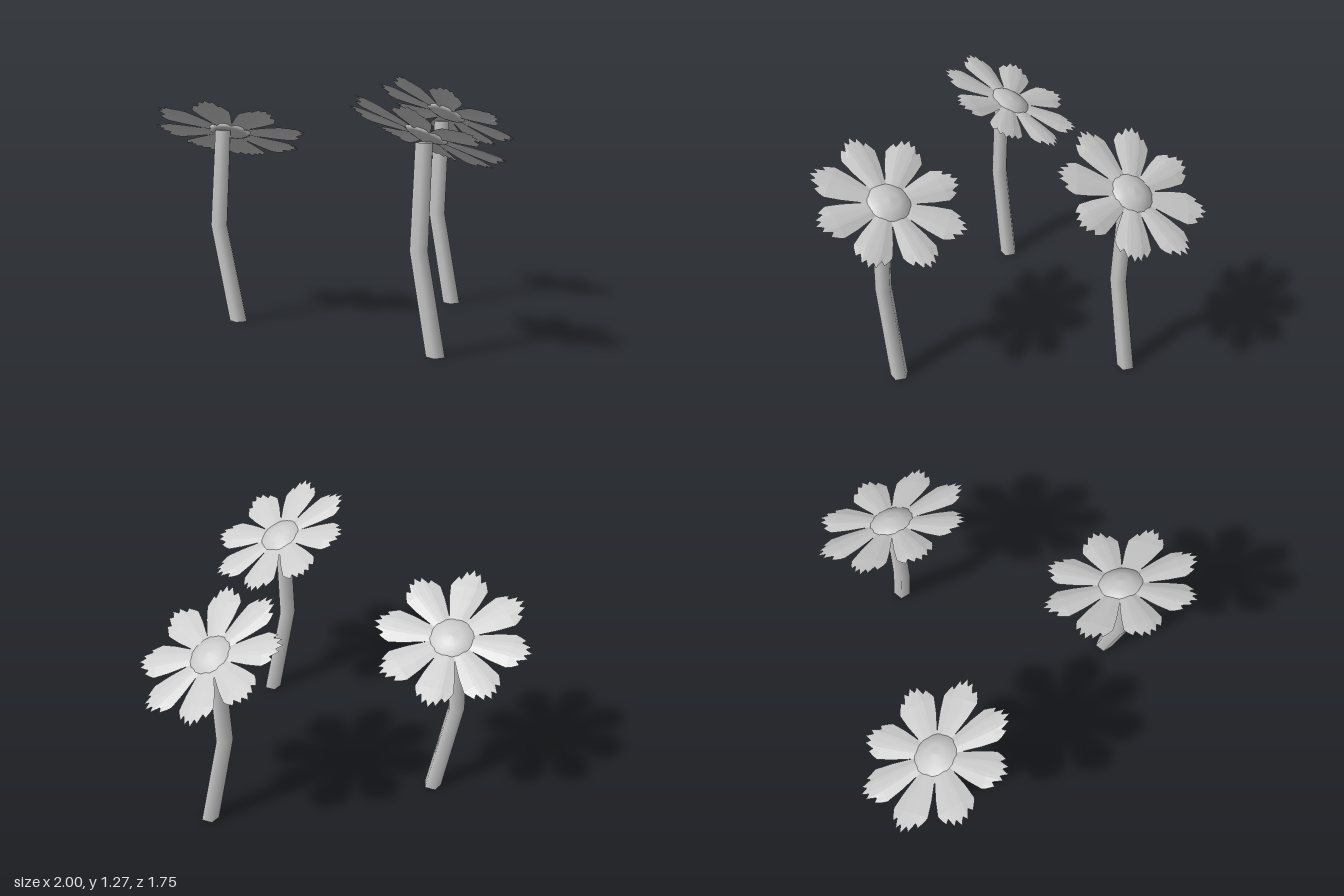
import * as THREE from 'three';

const smooth = new THREE.MeshStandardMaterial({ color: 0xcccccc });
const faceted = new THREE.MeshStandardMaterial({ color: 0xcccccc, flatShading: true, side: THREE.DoubleSide });

const PETALS = 8;
const ROW_RADIUS = [0.04, 0.12, 0.22, 0.3];
const ROW_HALF_WIDTH = [0.02, 0.05, 0.08, 0.097, 0.088];
const ROWS = ROW_RADIUS.length;
const TIP_RADIUS = [0.325, 0.36, 0.342, 0.393, 0.37, 0.408, 0.37, 0.393, 0.342, 0.36, 0.325];

// Petal along +x: a folded sheet, narrow at the base and toothed at the tip
function petalGeometry() {
  const columns = TIP_RADIUS.length - 1;
  const geo = new THREE.PlaneGeometry(1, 1, columns, ROWS);
  const pos = geo.attributes.position;
  for (let i = 0; i < pos.count; i++) {
    const col = Math.round((pos.getX(i) + 0.5) * columns);
    const row = Math.round((pos.getY(i) + 0.5) * ROWS);
    const t = (col / columns) * 2 - 1;
    const w = ROW_HALF_WIDTH[row];
    const r = row < ROWS ? ROW_RADIUS[row] : TIP_RADIUS[col];
    const fold = Math.min(1, 1.5 * (1 - Math.abs(t))) * 0.16 * w;
    pos.setXYZ(i, r, fold, t * w);
  }
  geo.computeVertexNormals();
  return geo;
}

// Stem: level rings of five sides set on three points, so it bends once
function stemGeometry(points) {
  const geo = new THREE.CylinderGeometry(0.043, 0.048, 1, 5, 2, false, -Math.PI / 4);
  const pos = geo.attributes.position;
  for (let i = 0; i < pos.count; i++) {
    const [x, y, z] = points[Math.round((pos.getY(i) + 0.5) * 2)];
    pos.setXYZ(i, pos.getX(i) + x, y, pos.getZ(i) + z);
  }
  return geo;
}

// Flower centre: a low dome that runs into the petals, a shallow cone below
const centreGeometry = new THREE.LatheGeometry(
  [[0, -0.03], [0.085, -0.006], [0.11, 0.006], [0.05, 0.021], [0, 0.028]]
    .map(([x, y]) => new THREE.Vector2(x, y)), 16);

// slope = rise of the head per unit of x and of z; turn = petal offset in degrees
const FLOWERS = [
  { name: 'backFlower', head: [-0.03, 1.047, -0.53], slope: [-0.12, 0.59], turn: -12,
    stem: [[0, 0, -0.557], [-0.04, 0.51, -0.475], [-0.033, 1.01, -0.505]] },
  { name: 'rightFlower', head: [-0.625, 0.985, 0.515], slope: [0.2, 0.43], turn: 27,
    stem: [[-0.58, 0, 0.51], [-0.628, 0.51, 0.59], [-0.62, 1, 0.56]] },
  { name: 'leftFlower', head: [0.615, 1.035, 0.455], slope: [-0.14, 0.5], turn: 22.5,
    stem: [[0.663, 0, 0.43], [0.63, 0.51, 0.515], [0.638, 1.01, 0.49]] },
];

function addMesh(parent, name, geometry, material) {
  const mesh = new THREE.Mesh(geometry, material);
  mesh.name = name;
  parent.add(mesh);
  return mesh;
}

export function createModel() {
  const model = new THREE.Group();
  model.name = 'threeFlowers';
  const petal = petalGeometry();

  for (const { name, head, slope, turn, stem } of FLOWERS) {
    const flower = new THREE.Group();
    flower.name = name;
    model.add(flower);
    addMesh(flower, 'stem', stemGeometry(stem), smooth);

    // Tilted head with a ring of petals
    const bloom = new THREE.Group();
    bloom.name = 'flowerHead';
    bloom.position.set(...head);
    const normal = new THREE.Vector3(-slope[0], 1, -slope[1]).normalize();
    bloom.quaternion.setFromUnitVectors(new THREE.Vector3(0, 1, 0), normal);
    flower.add(bloom);
    addMesh(bloom, 'flowerCentre', centreGeometry, smooth);
    for (let i = 0; i < PETALS; i++) {
      const leaf = addMesh(bloom, 'petal', petal, faceted);
      leaf.rotation.y = THREE.MathUtils.degToRad(turn) + (i / PETALS) * Math.PI * 2;
    }
  }
  return model;
}
